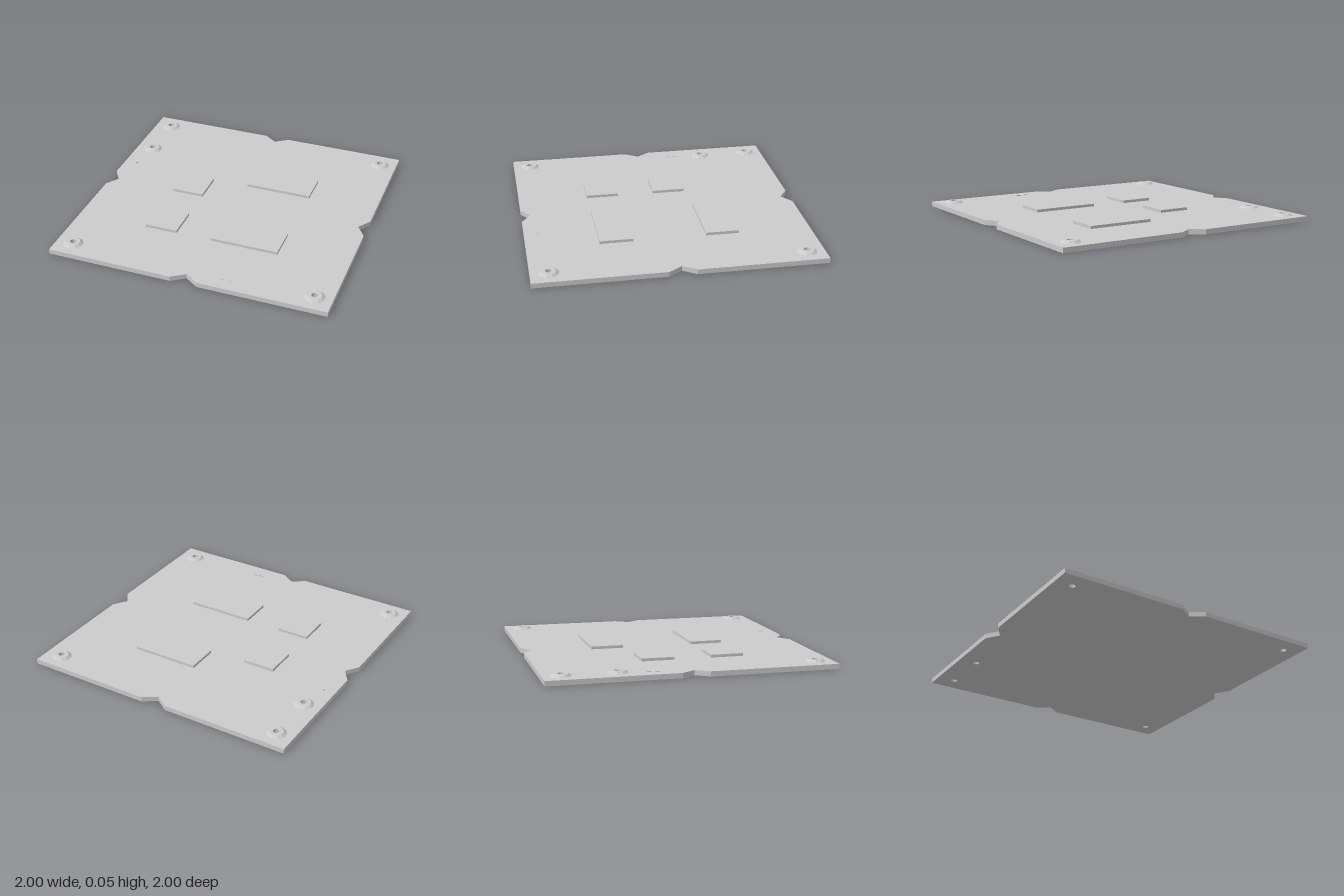
import * as THREE from 'three';

const FLOOR = 0.015, TOP = 0.035, BOSS_TOP = 0.051;
const SIDES = 10, BORE = 0.023;
const bosses = [[-0.875, -0.875], [0.875, -0.875], [-0.875, 0.875], [0.875, 0.875], [-0.875, -0.5]];

const material = new THREE.MeshStandardMaterial({ color: 0xcccccc, flatShading: true });

// Points are given as [x, z] on the plan; shapes use y = -z
const toPoints = (list) => list.map(([x, z]) => new THREE.Vector2(x, -z));
const rect = (x0, z0, x1, z1) => [[x0, z0], [x1, z0], [x1, z1], [x0, z1]];

function ring(cx, cz, r) {
  return Array.from({ length: SIDES }, (_, i) => {
    const a = (i / SIDES) * Math.PI * 2;
    return [cx + r * Math.sin(a), cz + r * Math.cos(a)];
  });
}

// Arrow mark pointing along +x, or along -z when turned
function chevron(cx, cz, turned) {
  const outline = [[-0.025, -0.027], [0.025, -0.005], [0.025, 0.005], [-0.025, 0.027],
    [-0.025, 0.016], [0.01, 0], [-0.025, -0.016]];
  return outline.map(([u, v]) => (turned ? [cx + v, cz - u] : [cx + u, cz + v]));
}

// Slab between two heights with holes cut straight through
function slab(name, outline, holes, y0, y1) {
  const shape = new THREE.Shape(toPoints(outline));
  holes.forEach((h) => shape.holes.push(new THREE.Path(toPoints(h))));
  const geometry = new THREE.ExtrudeGeometry(shape, { depth: y1 - y0, bevelEnabled: false });
  geometry.rotateX(-Math.PI / 2).translate(0, y0, 0);
  const mesh = new THREE.Mesh(geometry, material);
  mesh.name = name;
  return mesh;
}

export function createModel() {
  const group = new THREE.Group();
  group.name = 'basePlate';

  // Square outline with a V notch in the middle of every side
  const w = 0.095, d = 0.935;
  const outline = [
    [-1, -1], [-w, -1], [0, -d], [w, -1],
    [1, -1], [1, -w], [d, 0], [1, w],
    [1, 1], [w, 1], [0, d], [-w, 1],
    [-1, 1], [-1, w], [-d, 0], [-1, -w],
  ];
  const bores = bosses.map(([x, z]) => ring(x, z, BORE));

  // Lower layer forms the recess floor
  group.add(slab('plateFloor', outline, bores, 0, FLOOR));

  // Upper layer is the rim around the recess, with engraved arrows
  const recess = rect(-0.757, -0.757, 0.757, 0.757);
  const arrows = [
    chevron(0.247, 0.897, false), chevron(0.305, 0.897, false),
    chevron(-0.9, -0.243, true), chevron(-0.9, -0.301, true),
  ];
  group.add(slab('plateRim', outline, [...bores, recess, ...arrows], FLOOR, TOP));

  // Raised pads inside the recess
  const pads = [
    [0.005, -0.495, 0.492, -0.26], [0.005, 0.256, 0.492, 0.492],
    [-0.495, -0.245, -0.26, -0.01], [-0.495, 0.256, -0.26, 0.492],
  ];
  pads.forEach((p, i) => group.add(slab(`pad${i + 1}`, rect(...p), [], FLOOR, TOP)));

  // Tapered bosses around the screw holes
  const profile = [[0.071, TOP], [0.066, TOP + 0.004], [0.05, BOSS_TOP], [BORE, BOSS_TOP], [BORE, TOP]]
    .map(([r, y]) => new THREE.Vector2(r, y));
  const bossGeometry = new THREE.LatheGeometry(profile, SIDES);
  bosses.forEach(([x, z], i) => {
    const boss = new THREE.Mesh(bossGeometry, material);
    boss.name = `screwBoss${i + 1}`;
    boss.position.set(x, 0, z);
    group.add(boss);
  });

  return group;
}
